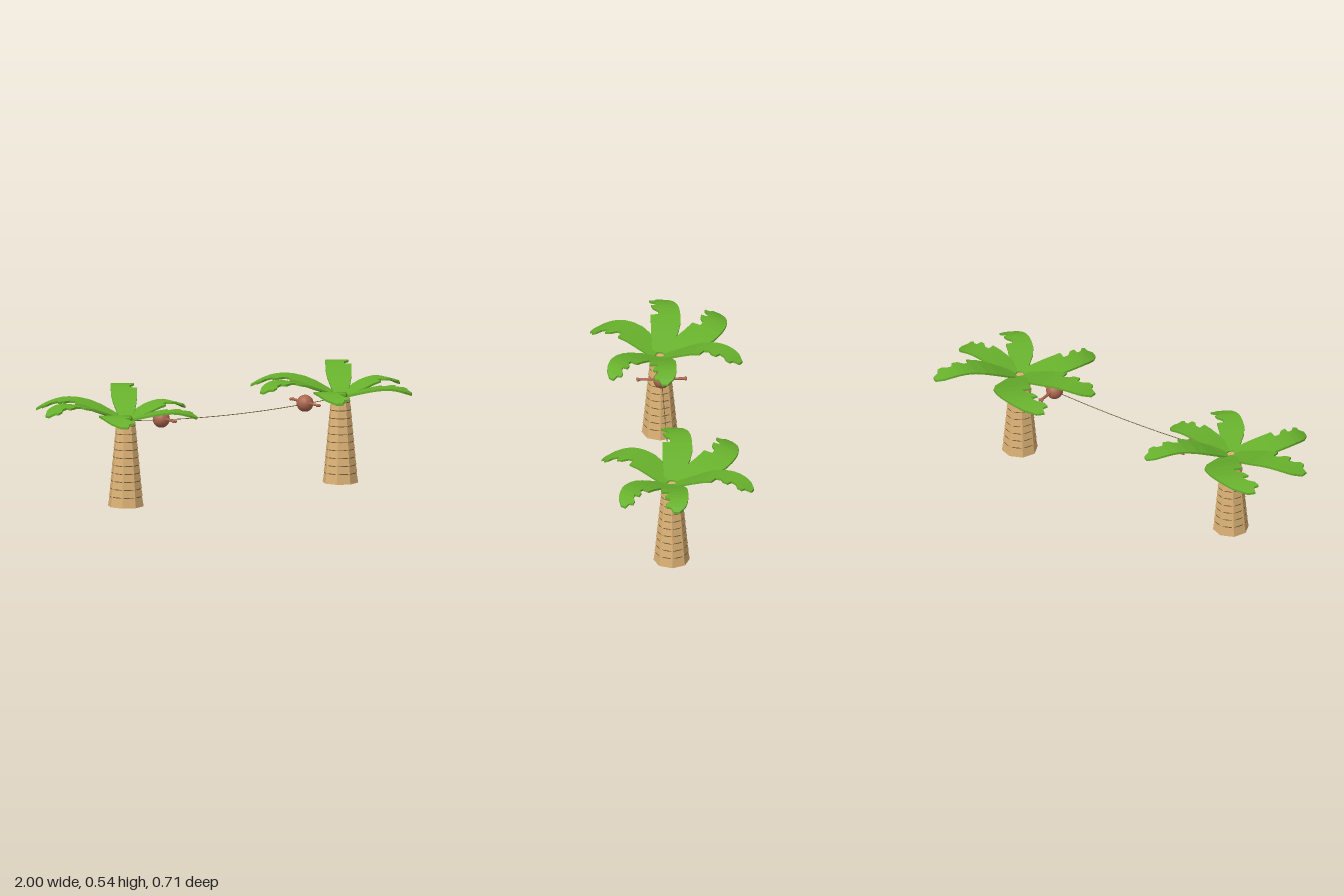
import * as THREE from 'three';

function colour(name, hex) {
  const material = new THREE.MeshStandardMaterial({ color: hex });
  material.name = name;
  return material;
}
const leafGreen = colour('leafGreen', 0x67b02c);
const trunkTan = colour('trunkTan', 0xdab074);
const coconutBrown = colour('coconutBrown', 0xab664e);
const ropeBrown = colour('ropeBrown', 0x75623c);

const Z = 0.03; // depth of the line that joins the trees

function flat(geometry) {
  const g = geometry.index ? geometry.toNonIndexed() : geometry;
  g.computeVertexNormals();
  return g;
}

function part(name, geometry, material, x = 0, y = 0, z = 0) {
  const mesh = new THREE.Mesh(geometry, material);
  mesh.name = name;
  mesh.position.set(x, y, z);
  return mesh;
}

// Leaf template: [along, smooth edge, torn edge], in lengths and half widths
const LEAF = [
  [0.05, 0.5, 0.55], [0.16, 0.65, 0.75], [0.32, 0.9, 0.95], [0.45, 1, 1],
  [0.57, 1, 1], [0.577, 1, 0.45], [0.64, 1, 0.45], [0.69, 1, 0.75],
  [0.755, 0.98, 0.8], [0.77, 0.97, 0.38], [0.83, 0.92, 0.45], [0.87, 0.86, 0.72],
  [0.92, 0.75, 0.7], [0.935, 0.68, 0.35], [1, 0.3, 0.15],
];

// Thick flat strip that rises, arches over and droops at the tip
function leafGeometry({ dir, length, half, bend, side, rise }) {
  const d = new THREE.Vector2(...dir).normalize();
  const positions = [], index = [];
  for (const [u, smooth, torn] of LEAF) {
    const mid = bend * Math.sin(Math.PI * u);
    const a = side * (mid + half * smooth), b = side * (mid - half * torn);
    const arch = Math.sin(Math.min(u / 0.72, 1) * Math.PI / 2) ** 1.25;
    const droop = 0.033 * (Math.max(u - 0.7, 0) / 0.3) ** 2;
    const y = 0.417 + rise * arch - droop;
    const right = Math.max(a, b), left = Math.min(a, b);
    for (const [v, h] of [[right, y], [left, y], [left, y - 0.01], [right, y - 0.01]]) {
      positions.push(d.x * u * length - d.y * v, h, d.y * u * length + d.x * v);
    }
  }
  for (let i = 0; i < LEAF.length - 1; i++) {
    for (let k = 0; k < 4; k++) {
      const n = (k + 1) % 4, p = i * 4, q = p + 4;
      index.push(p + k, q + k, q + n, p + k, q + n, p + n);
    }
  }
  const e = (LEAF.length - 1) * 4;
  index.push(0, 1, 2, 0, 2, 3, e, e + 2, e + 1, e, e + 3, e + 2);
  const g = new THREE.BufferGeometry();
  g.setAttribute('position', new THREE.Float32BufferAttribute(positions, 3));
  g.setIndex(index);
  return flat(g);
}

const LEAVES = [
  { dir: [43, -68], length: 0.442, half: 0.062, bend: 0.005, side: -1, rise: 0.119 },
  { dir: [-60, -52], length: 0.43, half: 0.086, bend: 0.092, side: 1, rise: 0.078 },
  { dir: [-82, -2], length: 0.438, half: 0.071, bend: 0.033, side: 1, rise: 0.088 },
  { dir: [-38, 58], length: 0.38, half: 0.077, bend: 0.053, side: 1, rise: 0.058 },
  { dir: [46, 44], length: 0.345, half: 0.062, bend: 0.036, side: 1, rise: 0.055 },
  { dir: [63, -1], length: 0.337, half: 0.063, bend: 0.004, side: -1, rise: 0.067 },
];

function palmTree(name, x) {
  const tree = new THREE.Group();
  tree.name = name;
  tree.position.set(x, 0, Z);

  // Trunk: overlapping eight-sided rings, each with a round band under its foot
  const trunk = new THREE.Group();
  trunk.name = 'trunk';
  const radius = (y) => 0.0865 - 0.096 * y;
  for (let i = 0; i < 11; i++) {
    const y0 = i === 0 ? 0 : 0.05 + (i - 1) * 0.0378;
    const y1 = i === 10 ? 0.415 : 0.05 + i * 0.0378;
    const ring = new THREE.CylinderGeometry(radius(y1) - 0.003, radius(y0), y1 - y0, 8);
    trunk.add(part('trunkRing', flat(ring), trunkTan, 0, (y0 + y1) / 2, 0));
    if (i > 0) {
      const r = radius(y0) * 0.95;
      const band = new THREE.CylinderGeometry(r, r, 0.004, 24);
      trunk.add(part('trunkBand', band, ropeBrown, 0, y0 - 0.0015, 0));
    }
  }
  tree.add(trunk);

  // Crown
  const crown = new THREE.Group();
  crown.name = 'crown';
  for (const leaf of LEAVES) crown.add(part('leaf', leafGeometry(leaf), leafGreen));
  tree.add(crown);
  return tree;
}

// Coconut with a knobbed peg pushed through it
function hangingCoconut(name, x) {
  const g = new THREE.Group();
  g.name = name;
  g.position.set(x, 0.399, Z);
  g.add(part('coconut', new THREE.SphereGeometry(0.041, 14, 10), coconutBrown));
  const rod = new THREE.CylinderGeometry(0.0065, 0.0065, 0.23, 8);
  rod.rotateX(Math.PI / 2);
  g.add(part('peg', rod, coconutBrown, 0, 0.005, 0));
  for (const sz of [-1, 1]) {
    for (const sx of [-1, 1]) {
      const knob = new THREE.SphereGeometry(0.0075, 8, 6);
      g.add(part('pegKnob', knob, coconutBrown, sx * 0.006, 0.005, sz * 0.114));
    }
  }
  return g;
}

export function createModel() {
  const model = new THREE.Group();
  model.name = 'palmTreesWithLine';
  model.add(palmTree('rightPalm', -0.562), palmTree('leftPalm', 0.662));

  // Sagging rope
  const curve = new THREE.QuadraticBezierCurve3(
    new THREE.Vector3(-0.54, 0.409, Z),
    new THREE.Vector3(0.05, 0.357, Z),
    new THREE.Vector3(0.64, 0.409, Z),
  );
  model.add(part('rope', new THREE.TubeGeometry(curve, 24, 0.0018, 6), ropeBrown));

  model.add(hangingCoconut('rightCoconut', -0.36), hangingCoconut('leftCoconut', 0.46));
  return model;
}
